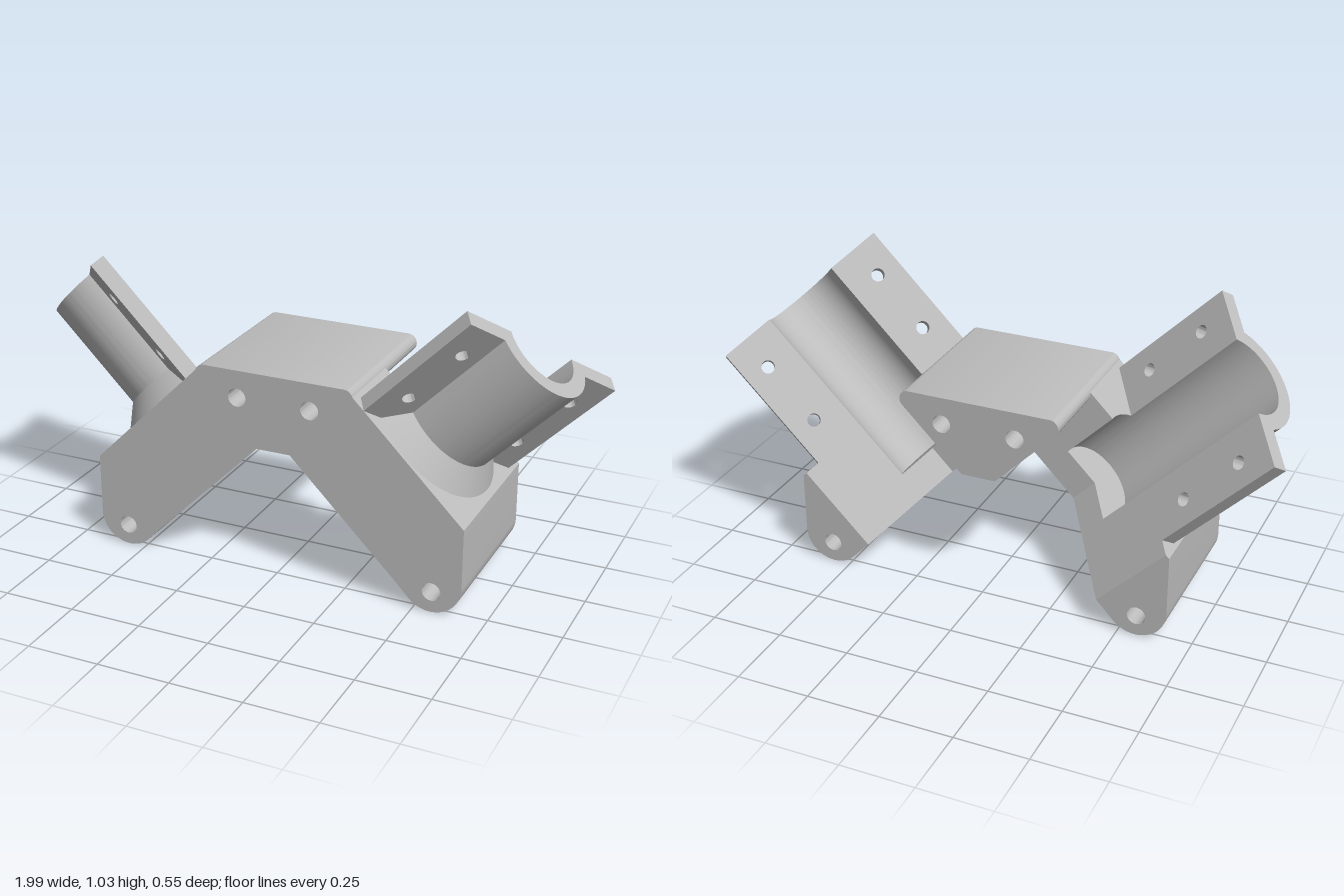
import * as THREE from 'three';
import { toCreasedNormals } from 'three/addons/utils/BufferGeometryUtils.js';

const HALF = 0.275;                     // half depth of the frame
const INNER = 0.368, FLOOR = 0.475, FACE = 0.695, END = 1.18; // levels along the tube axis
const AXIS = 0.045, BORE = 0.14, WALL = 0.053, FLANGE = 0.335;
const FOOT = -0.247;                    // where the leg block meets the foot
const R = Math.SQRT1_2;

const metal = new THREE.MeshStandardMaterial({ color: 0xbdbdbd });
metal.name = 'light grey';

function mesh(name, geometry) {
  const m = new THREE.Mesh(geometry, metal);
  m.name = name;
  return m;
}

function extrude(shape, from, to) {
  const g = new THREE.ExtrudeGeometry(shape, { depth: to - from, bevelEnabled: false, curveSegments: 32 });
  g.translate(0, 0, from);
  return toCreasedNormals(g, 0.5);
}

function addHole(shape, x, y, r) {
  const hole = new THREE.Path();
  hole.absarc(x, y, r, 0, Math.PI * 2, true);
  shape.holes.push(hole);
}

// central bridge: narrow at the bottom, rounded upper corners, two bolt holes
function bridge() {
  const s = new THREE.Shape();
  const r = 0.031, cx = 0.25, cy = 0.725 - r;
  s.moveTo(-0.06, 0.46);
  s.lineTo(0.06, 0.46);
  s.absarc(cx, cy, r, -Math.PI / 4, Math.PI / 2, false);
  s.absarc(-cx, cy, r, Math.PI / 2, Math.PI * 1.25, false);
  s.closePath();
  for (const x of [-0.13, 0.13]) addHole(s, x, 0.63, 0.032);
  return mesh('bridge', extrude(s, -HALF, HALF));
}

// rounded foot with a pivot hole
function foot() {
  const s = new THREE.Shape();
  s.moveTo((FACE - FOOT) * R, (FACE + FOOT) * R);
  s.lineTo((INNER - FOOT) * R, (INNER + FOOT) * R);
  s.absarc(0.561, 0.105, 0.105, Math.PI * 1.25, Math.PI * 2, false);
  s.closePath();
  addHole(s, 0.563, 0.073, 0.032);
  return mesh('foot', extrude(s, -HALF, HALF));
}

// leg cross-section: rear corner cut away diagonally, optionally with the bore
function legSection(bored) {
  const s = new THREE.Shape();
  s.moveTo(HALF, FOOT);
  s.lineTo(HALF, AXIS - HALF);
  if (bored) s.absarc(0, AXIS, BORE, -Math.PI / 4, -Math.PI * 1.5, true);
  else s.lineTo(0, AXIS);
  s.lineTo(0, 0.32);
  s.lineTo(-HALF, 0.32);
  s.lineTo(-HALF, FOOT);
  s.closePath();
  return s;
}

// half-tube clamp with bolt flanges and a flared root
function cradle() {
  const g = new THREE.Group();
  g.name = 'cradle';
  const ring = new THREE.Shape();
  ring.absarc(0, 0, BORE + WALL, Math.PI, Math.PI * 2, false);
  ring.absarc(0, 0, BORE, Math.PI * 2, Math.PI, true);
  ring.closePath();
  g.add(mesh('halfTube', extrude(ring, FACE - 0.005, END)));

  for (const side of [-1, 1]) {
    const a = side * 0.16, b = side * FLANGE;
    const lo = Math.min(a, b), hi = Math.max(a, b);
    const plate = new THREE.Shape();
    plate.moveTo(lo, FACE - 0.005);
    plate.lineTo(hi, FACE - 0.005);
    plate.lineTo(hi, END);
    plate.lineTo(lo, END);
    plate.closePath();
    for (const y of [0.817, 1.058]) addHole(plate, side * 0.25, y, 0.023);
    g.add(mesh('flange', extrude(plate, 0, WALL).rotateX(Math.PI / 2)));
  }

  const flare = new THREE.CylinderGeometry(BORE + WALL, 0.265, 0.072, 48, 1, true, -Math.PI / 2, Math.PI);
  flare.rotateX(Math.PI / 2).translate(0, 0, FACE + 0.036);
  g.add(mesh('flare', flare));

  g.position.y = AXIS;
  g.rotation.z = -Math.PI / 4;
  return g;
}

function arm(name) {
  const g = new THREE.Group();
  g.name = name;
  g.add(foot());
  // tilted frame: local z runs along the tube, local x to the back
  const tilted = new THREE.Group();
  tilted.name = 'tiltedArm';
  tilted.quaternion.setFromRotationMatrix(new THREE.Matrix4().makeBasis(
    new THREE.Vector3(0, 0, -1), new THREE.Vector3(-R, R, 0), new THREE.Vector3(R, R, 0)));
  tilted.add(mesh('legInner', extrude(legSection(false), INNER, FLOOR)));
  tilted.add(mesh('legSocket', extrude(legSection(true), FLOOR, FACE)));
  tilted.add(cradle());
  g.add(tilted);
  return g;
}

export function createModel() {
  const model = new THREE.Group();
  model.name = 'twinTubeBracket';
  const left = arm('leftArm');
  const right = arm('rightArm');
  right.scale.x = -1;
  model.add(bridge(), left, right);
  return model;
}
